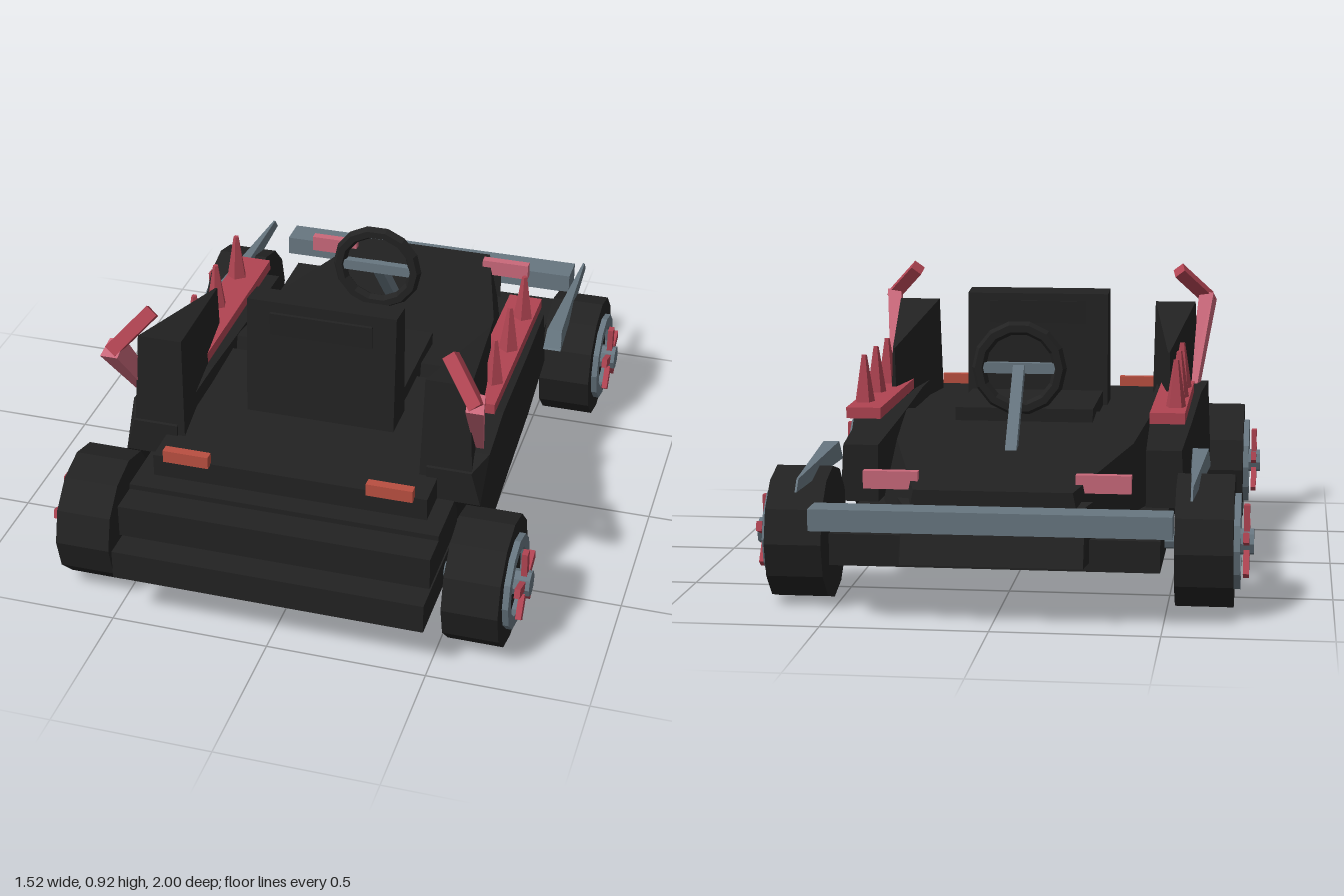
import * as THREE from 'three';

const mat = (name, color) => {
  const m = new THREE.MeshStandardMaterial({ color, flatShading: true });
  m.name = name;
  return m;
};

// Solid skinned over equal-sized corner loops, wound outward automatically
function loft(loops) {
  const n = loops[0].length, pos = [];
  const P = (i, j) => new THREE.Vector3(...loops[i][j % n]);
  const tris = [];
  for (let i = 0; i < loops.length - 1; i++) {
    for (let j = 0; j < n; j++) {
      const a = P(i, j), b = P(i, j + 1), c = P(i + 1, j + 1), d = P(i + 1, j);
      tris.push([a, b, c], [a, c, d]);
    }
  }
  const last = loops.length - 1;
  for (let j = 1; j < n - 1; j++) {
    tris.push([P(0, 0), P(0, j + 1), P(0, j)], [P(last, 0), P(last, j), P(last, j + 1)]);
  }
  const c0 = P(0, 0);
  let vol = 0;
  for (const [a, b, c] of tris) {
    const u = a.clone().sub(c0), v = b.clone().sub(c0), w = c.clone().sub(c0);
    vol += u.dot(v.cross(w));
  }
  for (const [a, b, c] of tris) {
    for (const p of vol > 0 ? [a, b, c] : [a, c, b]) pos.push(p.x, p.y, p.z);
  }
  const g = new THREE.BufferGeometry();
  g.setAttribute('position', new THREE.Float32BufferAttribute(pos, 3));
  g.computeVertexNormals();
  return g;
}

// Upright quad at depth z: bottom x0..x1 at y0, top t0..t1 at y1
const quad = (z, x0, x1, y0, y1, t0 = x0, t1 = x1, zTop = z) =>
  [[x0, y0, z], [x1, y0, z], [t1, y1, zTop], [t0, y1, zTop]];

// Square-section bar between two points
function bar(a, b, w) {
  const A = new THREE.Vector3(...a), B = new THREE.Vector3(...b);
  const g = new THREE.BoxGeometry(w, A.distanceTo(B), w);
  const dir = B.clone().sub(A).normalize();
  g.applyQuaternion(new THREE.Quaternion().setFromUnitVectors(new THREE.Vector3(0, 1, 0), dir));
  g.translate(...A.add(B).multiplyScalar(0.5).toArray());
  return g;
}

export function createModel() {
  const black = mat('black', 0x222222);
  const steel = mat('steel grey', 0x677680);
  const crimson = mat('crimson', 0xb04452);
  const pink = mat('pink red', 0xc9687a);
  const orange = mat('orange red', 0xb94f40);

  const root = new THREE.Group();
  root.name = 'buggy';
  const add = (name, geo, m, parent = root) => {
    const mesh = new THREE.Mesh(geo, m);
    mesh.name = name;
    parent.add(mesh);
    return mesh;
  };
  // Box given by its limits
  const box = (name, m, x0, x1, y0, y1, z0, z1, parent) =>
    add(name, new THREE.BoxGeometry(x1 - x0, y1 - y0, z1 - z0)
      .translate((x0 + x1) / 2, (y0 + y1) / 2, (z0 + z1) / 2), m, parent);

  // Floor and stepped tail
  box('floorPan', black, -0.49, 0.49, 0.16, 0.255, -0.89, 1);
  box('tailShelf', black, -0.49, 0.49, 0.27, 0.375, 0.6, 0.93);
  box('tailStep', black, -0.49, 0.49, 0.27, 0.392, 0.6, 0.83);
  box('rearDeck', black, -0.435, 0.435, 0.265, 0.465, 0.09, 0.76);

  // Tapering bonnet standing on the floor, and nose
  add('bonnet', loft([
    quad(0.09, -0.44, 0.44, 0.25, 0.485, -0.41, 0.41, 0.04),
    quad(-0.36, -0.42, 0.42, 0.25, 0.45, -0.375, 0.375),
    quad(-0.9, -0.265, 0.265, 0.25, 0.395, -0.235, 0.235),
  ]), black);
  add('nose', loft([
    quad(-0.85, -0.29, 0.29, 0.19, 0.36),
    quad(-0.95, -0.27, 0.27, 0.18, 0.35, -0.27, 0.27, -0.89),
  ]), black);
  box('frontBumper', steel, -0.53, 0.53, 0.285, 0.35, -1, -0.9);

  // Seat
  box('seatCushion', black, -0.225, 0.225, 0.4, 0.515, -0.11, 0.34);
  add('seatBack', loft([
    [[-0.24, 0.44, 0.3], [0.24, 0.44, 0.3], [0.24, 0.44, 0.435], [-0.24, 0.44, 0.435]],
    [[-0.24, 0.845, 0.31], [0.24, 0.845, 0.31], [0.24, 0.855, 0.405], [-0.24, 0.855, 0.405]],
  ]), black);
  box('headrestPanel', black, -0.165, 0.165, 0.745, 0.82, 0.303, 0.418);

  // Steering
  const ring = add('steeringWheel', new THREE.TorusGeometry(0.13, 0.022, 6, 14), black);
  ring.position.set(0, 0.665, -0.23);
  box('steeringCrossbar', steel, -0.12, 0.12, 0.648, 0.682, -0.243, -0.217);
  add('steeringColumn', bar([0, 0.42, -0.46], [0, 0.665, -0.24], 0.036), steel);

  // Side parts, mirrored by sign
  for (const s of [1, -1]) {
    const side = new THREE.Group();
    side.name = s > 0 ? 'leftSide' : 'rightSide';
    root.add(side);
    const solid = (name, loops, m) =>
      add(name, loft(loops.map(l => l.map(([x, y, z]) => [x * s, y, z]))), m, side);
    const sbox = (name, m, x0, x1, ...r) =>
      box(name, m, Math.min(x0 * s, x1 * s), Math.max(x0 * s, x1 * s), ...r, side);

    solid('sidePod', [
      quad(0.64, 0.4, 0.57, 0.39, 0.5, 0.4, 0.54),
      quad(0.55, 0.4, 0.585, 0.265, 0.52, 0.4, 0.575),
      quad(0.3, 0.4, 0.575, 0.265, 0.515, 0.4, 0.56),
      quad(-0.1, 0.41, 0.56, 0.265, 0.475, 0.41, 0.545),
      quad(-0.45, 0.42, 0.54, 0.265, 0.445, 0.42, 0.53),
    ], black);
    solid('rearFin', [
      quad(0.64, 0.375, 0.545, 0.39, 0.79, 0.385, 0.525, 0.61),
      quad(0.08, 0.45, 0.47, 0.45, 0.68, 0.457, 0.463),
    ], black);

    // Spiked rail
    sbox('spikeRail', crimson, 0.425, 0.535, 0.515, 0.55, -0.37, 0.32);
    for (const z of [0.18, -0.03, -0.24]) {
      add('spike', new THREE.CylinderGeometry(0.009, 0.034, 0.155, 5)
        .translate(0.5 * s, 0.6225, z), crimson, side);
    }

    // Bent horn
    solid('hornBase', [
      [[0.51, 0.52, 0.475], [0.54, 0.52, 0.475], [0.55, 0.52, 0.525], [0.52, 0.52, 0.525]],
      [[0.535, 0.82, 0.685], [0.585, 0.815, 0.685], [0.595, 0.785, 0.745], [0.54, 0.785, 0.745]],
    ], pink);
    add('hornTip', bar([0.57 * s, 0.79, 0.72], [0.465 * s, 0.898, 0.628], 0.042), crimson, side);

    // Blade fender over the front wheel
    solid('frontFender', [
      quad(-0.33, 0.555, 0.615, 0.38, 0.385, 0.555, 0.615, -0.335),
      quad(-0.34, 0.555, 0.615, 0.38, 0.44, 0.56, 0.61, -0.365),
      quad(-0.92, 0.578, 0.584, 0.383, 0.418, 0.578, 0.584, -0.89),
    ], steel);

    // Lamps
    sbox('headlight', pink, 0.235, 0.4, 0.378, 0.432, -0.815, -0.785);
    sbox('tailLight', orange, 0.25, 0.395, 0.46, 0.5, 0.75, 0.78);

    // Wheels
    for (const [name, z] of [['rearWheel', 0.735], ['frontWheel', -0.63]]) {
      const wheel = new THREE.Group();
      wheel.name = name;
      wheel.position.set(0, 0.205, z);
      side.add(wheel);
      const disc = (part, r, x0, x1, n, m) =>
        add(part, new THREE.CylinderGeometry(r, r, x1 - x0, n).rotateZ(Math.PI / 2)
          .translate(s * (x0 + x1) / 2, 0, 0), m, wheel);
      disc('axle', 0.027, 0.3, 0.54, 8, steel);
      disc('tyre', 0.205, 0.527, 0.7, 12, black);
      disc('hub', 0.04, 0.7, 0.758, 8, steel);
      const rim = new THREE.Shape().absarc(0, 0, 0.148, 0, Math.PI * 2);
      rim.holes.push(new THREE.Path().absarc(0, 0, 0.108, 0, Math.PI * 2, true));
      add('rim', new THREE.ExtrudeGeometry(rim, { depth: 0.022, bevelEnabled: false, curveSegments: 6 })
        .rotateY(Math.PI / 2).translate(s > 0 ? 0.697 : -0.719, 0, 0), steel, wheel);
      for (let i = 0; i < 5; i++) {
        add('spoke', new THREE.BoxGeometry(0.018, 0.09, 0.03).translate(s * 0.736, 0.068, 0)
          .rotateX(i * Math.PI * 0.4), crimson, wheel);
      }
    }
  }
  return root;
}
